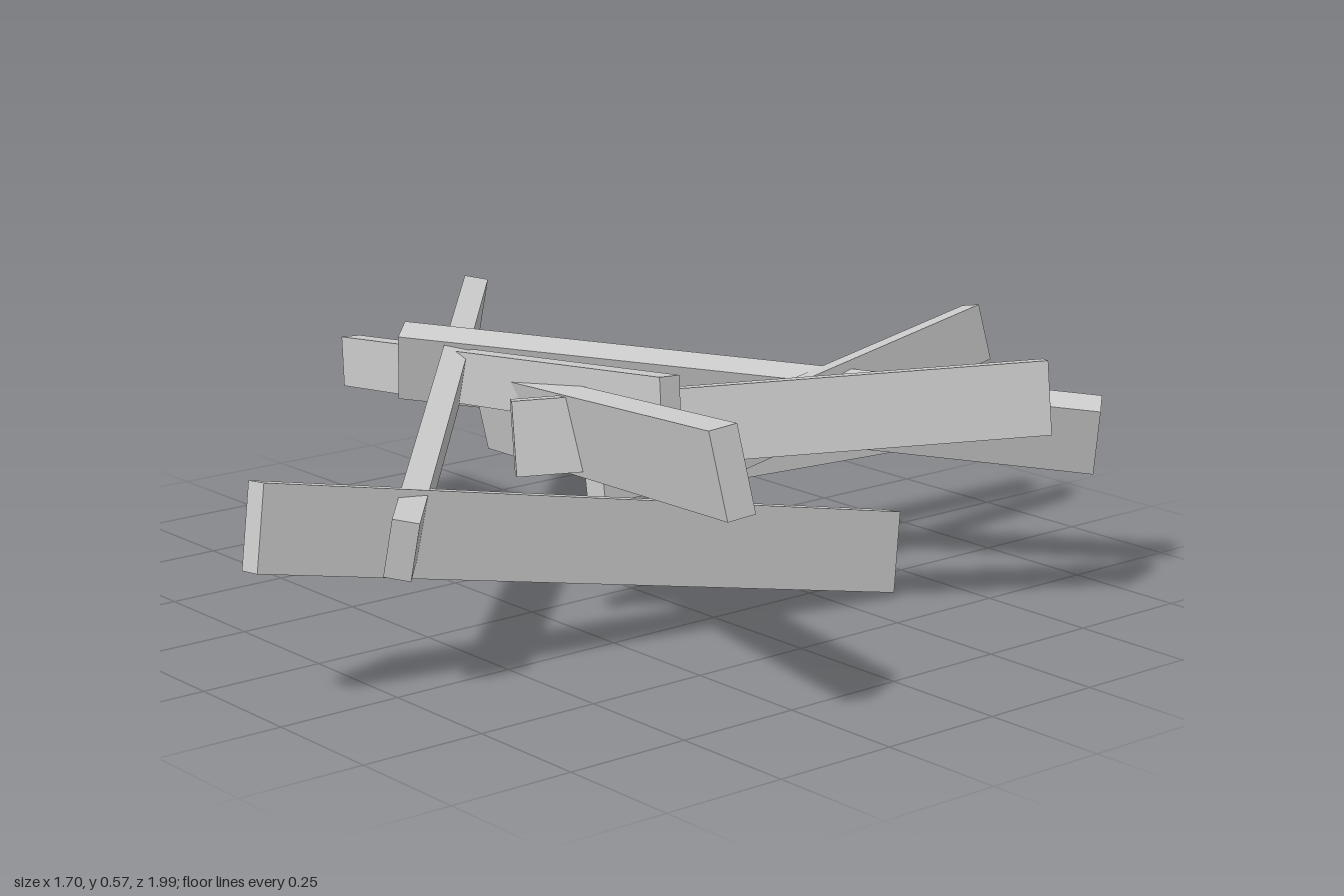
import * as THREE from 'three';

// Each beam: centre of both ends, width, height and how far its top leans in x and z.
const BEAMS = [
  { name: 'backBeam', a: [-0.013, 0.207, -0.99], b: [-0.037, 0.237, 0.065], w: 0.058, h: 0.095, lean: [-0.2, 0] },
  { name: 'backRightBeam', a: [0.111, 0.428, -0.84], b: [0.2, 0.312, 0.055], w: 0.045, h: 0.118, lean: [-0.2, 0] },
  { name: 'wideDiagonalBeam', a: [0.537, 0.305, -0.755], b: [-0.505, 0.41, 0.19], w: 0.065, h: 0.145, lean: [0.2, 0.22] },
  { name: 'frontSlopingBeam', a: [0.148, 0.345, 0.98], b: [0.335, 0.09, -0.38], w: 0.06, h: 0.16, lean: [-0.15, 0] },
  { name: 'topCrossBeam', a: [-0.84, 0.333, 0.082], b: [0.385, 0.492, 0.225], w: 0.043, h: 0.105, lean: [0, -0.03] },
  { name: 'longSideBeam', a: [0.825, 0.495, 0.46], b: [-0.355, 0.322, 0.075], w: 0.053, h: 0.16, lean: [-0.05, 0.16] },
  { name: 'rightDiagonalBeam', a: [0.633, 0.44, -0.505], b: [0.082, 0.39, 0.355], w: 0.043, h: 0.143, lean: [-0.12, -0.08] },
  { name: 'leftDiagonalBeam', a: [-0.725, 0.447, -0.155], b: [0.285, 0.292, 0.76], w: 0.05, h: 0.113, lean: [0.11, -0.13] },
];

// Box running between two points, rolled so its top follows the lean
function makeBeam({ name, a, b, w, h, lean }, material) {
  const start = new THREE.Vector3(...a);
  const end = new THREE.Vector3(...b);
  const along = end.clone().sub(start);
  const length = along.length();
  along.normalize();
  const side = new THREE.Vector3(lean[0], 1, lean[1]).cross(along).normalize();
  const up = along.clone().cross(side);

  const beam = new THREE.Mesh(new THREE.BoxGeometry(w, h, length), material);
  beam.name = name;
  beam.quaternion.setFromRotationMatrix(new THREE.Matrix4().makeBasis(side, up, along));
  beam.position.copy(start).add(end).multiplyScalar(0.5);
  return beam;
}

export function createModel() {
  const group = new THREE.Group();
  group.name = 'beamPile';
  const material = new THREE.MeshStandardMaterial({ color: 0xcccccc, flatShading: true });
  for (const spec of BEAMS) group.add(makeBeam(spec, material));
  return group;
}
